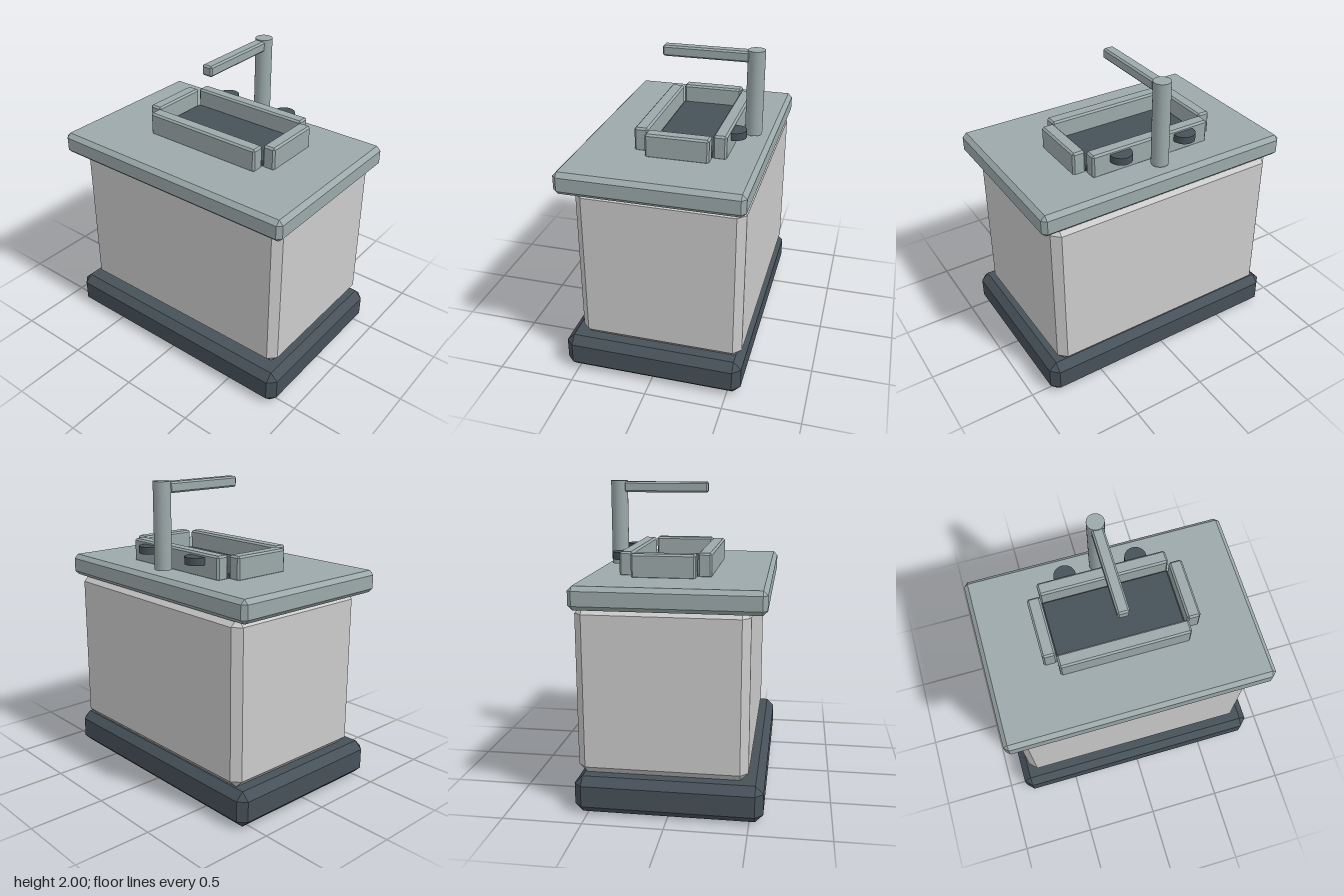
import * as THREE from 'three';
import { ConvexGeometry } from 'three/addons/geometries/ConvexGeometry.js';

const grey = new THREE.MeshStandardMaterial({ color: 0xcccccc });
const steel = new THREE.MeshStandardMaterial({ color: 0x9ca9aa });
const dark = new THREE.MeshStandardMaterial({ color: 0x475159 });

// Box with chamfered edges and corners, given by its extents on each axis
function chamferBox(name, [x0, x1], [y0, y1], [z0, z1], bevel, material) {
  const half = [(x1 - x0) / 2, (y1 - y0) / 2, (z1 - z0) / 2];
  const points = [];
  for (const sx of [-1, 1]) for (const sy of [-1, 1]) for (const sz of [-1, 1]) {
    for (let face = 0; face < 3; face++) {
      const [x, y, z] = half.map((h, axis) => (axis === face ? h : h - bevel));
      points.push(new THREE.Vector3(sx * x, sy * y, sz * z));
    }
  }
  const mesh = new THREE.Mesh(new ConvexGeometry(points), material);
  mesh.name = name;
  mesh.position.set((x0 + x1) / 2, (y0 + y1) / 2, (z0 + z1) / 2);
  return mesh;
}

// Upright cylinder between two heights
function post(name, radius, y0, y1, x, z, material) {
  const mesh = new THREE.Mesh(new THREE.CylinderGeometry(radius, radius, y1 - y0, 24), material);
  mesh.name = name;
  mesh.position.set(x, (y0 + y1) / 2, z);
  return mesh;
}

export function createModel() {
  const model = new THREE.Group();
  model.name = 'sinkCabinet';

  // Cabinet: plinth, body set towards the back, worktop
  model.add(
    chamferBox('plinth', [-0.88, 0.88], [0, 0.235], [-0.585, 0.585], 0.05, dark),
    chamferBox('cabinetBody', [-0.81, 0.81], [0.235, 1.3], [-0.572, 0.488], 0.05, grey),
    chamferBox('worktop', [-0.88, 0.88], [1.285, 1.43], [-0.585, 0.585], 0.028, steel)
  );

  // Basin: dark floor inside four raised rims
  const basin = new THREE.Group();
  basin.name = 'basin';
  const rimY = [1.42, 1.577];
  basin.add(
    chamferBox('basinFloor', [-0.425, 0.425], [1.35, 1.46], [-0.285, 0.13], 0.01, dark),
    chamferBox('frontRim', [-0.425, 0.425], rimY, [0.127, 0.217], 0.012, steel),
    chamferBox('backRim', [-0.425, 0.425], rimY, [-0.37, -0.283], 0.012, steel),
    chamferBox('leftRim', [0.423, 0.51], rimY, [-0.28, 0.125], 0.012, steel),
    chamferBox('rightRim', [-0.51, -0.423], rimY, [-0.28, 0.125], 0.012, steel)
  );
  model.add(basin);

  // Tap: post, spout and two knobs
  const tap = new THREE.Group();
  tap.name = 'tap';
  tap.add(
    post('tapPost', 0.056, 1.445, 2, 0, -0.456, steel),
    chamferBox('tapSpout', [-0.038, 0.038], [1.923, 1.993], [-0.418, 0.145], 0.011, steel)
  );
  for (const side of [-1, 1]) {
    tap.add(post(side > 0 ? 'leftKnob' : 'rightKnob', 0.072, 1.507, 1.555, side * 0.235, -0.383, dark));
  }
  model.add(tap);

  return model;
}
